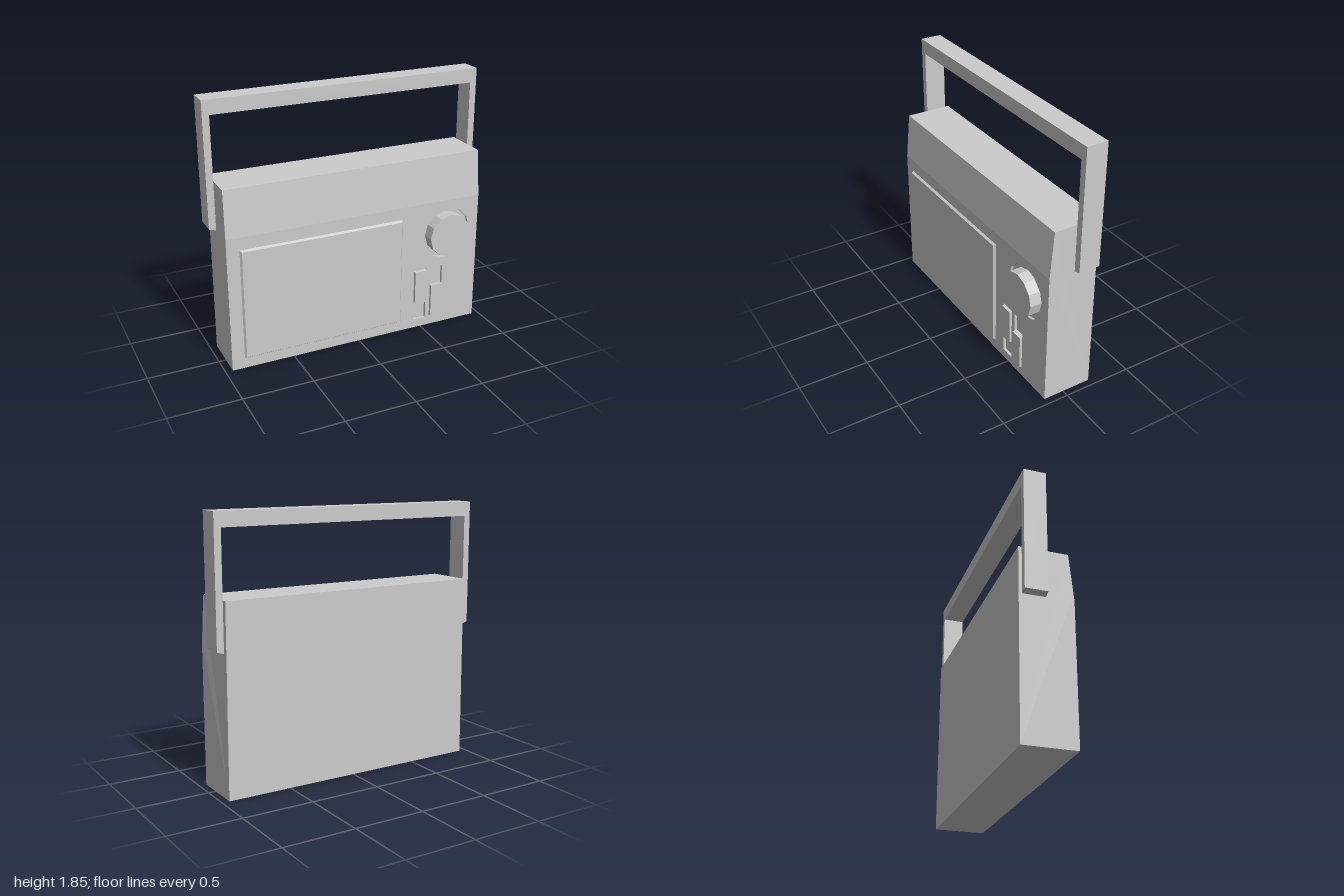
import * as THREE from 'three';

export function createModel() {
  const radio = new THREE.Group();
  radio.name = 'portableRadio';
  const material = new THREE.MeshStandardMaterial({ color: 0xcccccc, flatShading: true });

  const add = (name, geometry, x = 0, y = 0, z = 0) => {
    const mesh = new THREE.Mesh(geometry, material);
    mesh.name = name;
    mesh.position.set(x, y, z);
    radio.add(mesh);
    return mesh;
  };
  const points = (list) => list.map(([x, y]) => new THREE.Vector2(x, y));
  const extrude = (shape, depth) => new THREE.ExtrudeGeometry(shape, { depth, bevelEnabled: false });
  const rect = (x0, y0, x1, y1) => points([[x0, y0], [x1, y0], [x1, y1], [x0, y1]]);

  const halfWidth = 0.95, shoulder = 0.97, front = 0.15, recess = 0.02;
  const dial = { x: 0.69, y: 0.72, r: 0.193 };

  // Case: side profile swept across the width, narrowing slightly at the top
  const profile = new THREE.Shape(points([
    [-0.21, 0], [front - recess, 0], [front - recess, shoulder],
    [front, shoulder], [0.12, 1.3], [-0.21, 1.3],
  ]));
  const caseGeometry = extrude(profile, halfWidth * 2).rotateY(-Math.PI / 2).translate(halfWidth, 0, 0);
  const position = caseGeometry.attributes.position;
  for (let i = 0; i < position.count; i++) {
    if (position.getY(i) > 1.2) position.setX(i, position.getX(i) * 0.994);
  }
  caseGeometry.computeVertexNormals();
  add('case', caseGeometry);

  // Front plate with openings for the dial and the two sliders
  const plate = new THREE.Shape(rect(-halfWidth, 0, halfWidth, shoulder));
  const dialHole = [];
  for (let i = 0; i < 12; i++) {
    const a = (i / 12) * Math.PI * 2;
    dialHole.push(new THREE.Vector2(dial.x + dial.r * Math.cos(a), dial.y + dial.r * Math.sin(a)));
  }
  const sliders = [
    { x0: 0.44, x1: 0.54, y0: 0.2, y1: 0.455 },
    { x0: 0.573, x1: 0.67, y0: 0.073, y1: 0.322 },
  ];
  plate.holes.push(new THREE.Path(dialHole));
  for (const s of sliders) plate.holes.push(new THREE.Path(rect(s.x0, 0.065, s.x1, 0.462)));
  add('frontPlate', extrude(plate, recess), 0, 0, front - recess);

  // Tuning knob
  const knobDepth = 0.215 - front + recess;
  const knob = new THREE.CylinderGeometry(0.16, 0.16, knobDepth, 12).rotateX(Math.PI / 2);
  add('tuningKnob', knob, dial.x, dial.y, front - recess + knobDepth / 2);

  // Slider buttons
  for (const s of sliders) {
    const depth = 0.017 + recess;
    add('sliderButton', new THREE.BoxGeometry(s.x1 - s.x0 - 0.004, s.y1 - s.y0, depth),
      (s.x0 + s.x1) / 2, (s.y0 + s.y1) / 2, front - recess + depth / 2);
  }

  // Raised speaker panel with chamfered rim
  const panel = new THREE.BoxGeometry(1.195, 0.806, 0.016);
  const corners = panel.attributes.position;
  for (let i = 0; i < corners.count; i++) {
    if (corners.getZ(i) > 0) {
      corners.setX(i, corners.getX(i) - Math.sign(corners.getX(i)) * 0.011);
      corners.setY(i, corners.getY(i) - Math.sign(corners.getY(i)) * 0.011);
    }
  }
  panel.computeVertexNormals();
  add('speakerPanel', panel, -0.2625, 0.478, front + 0.008);

  // Carrying handle: one square arch whose feet slope inward
  const arch = new THREE.Shape(points([
    [1, 0.98], [1, 1.85], [-1, 1.85], [-1, 0.98],
    [-0.952, 0.966], [-0.952, 1.75], [0.952, 1.75], [0.952, 0.966],
  ]));
  add('handle', extrude(arch, 0.152), 0, 0, -0.19);

  return radio;
}
